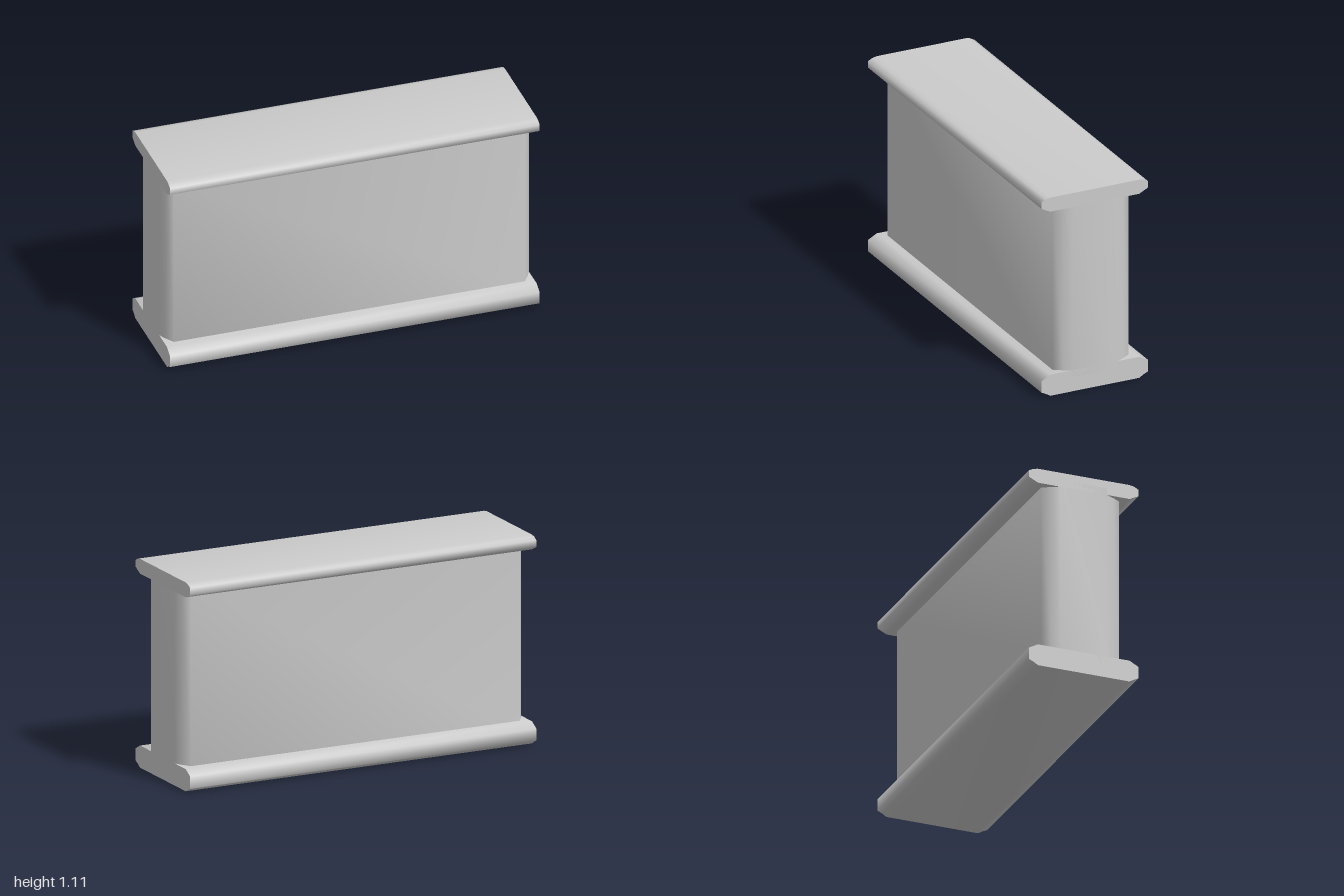
import * as THREE from 'three';
import { toCreasedNormals } from 'three/addons/utils/BufferGeometryUtils.js';

const material = new THREE.MeshStandardMaterial({ color: 0xcccccc });

// Extrudes an outline with softly shaded sides and crisp ends
function extrude(points, depth) {
  const shape = new THREE.Shape(points.map(([x, y]) => new THREE.Vector2(x, y)));
  const geometry = new THREE.ExtrudeGeometry(shape, { depth, bevelEnabled: false });
  return toCreasedNormals(geometry, 1.2);
}

// Flange running along x; half is its right-hand profile, from bottom to top
function flange(name, half) {
  const left = half.map(([z, y]) => [-z, y]).reverse();
  const geometry = extrude([...half, ...left], 2);
  geometry.translate(0, 0, -1).rotateY(Math.PI / 2);
  const mesh = new THREE.Mesh(geometry, material);
  mesh.name = name;
  return mesh;
}

export function createModel() {
  const group = new THREE.Group();
  group.name = 'beam';

  // Thicker bottom flange and thinner top flange, both with chamfered edges
  group.add(flange('bottomFlange', [
    [0.255, 0], [0.28, 0.015], [0.305, 0.027], [0.305, 0.091], [0.255, 0.118],
  ]));
  group.add(flange('topFlange', [
    [0.255, 1.033], [0.305, 1.058], [0.305, 1.094], [0.28, 1.107], [0.255, 1.112],
  ]));

  // Upright web with eased vertical corners, sunk into both flanges
  const corner = [[1, 0.13], [0.98, 0.17], [0.95, 0.217]];
  const back = [...corner, ...corner.map(([x, z]) => [-x, z]).reverse()];
  const front = back.map(([x, z]) => [x, -z]).reverse();
  const web = new THREE.Mesh(extrude([...back, ...front], 0.99), material);
  web.geometry.rotateX(-Math.PI / 2).translate(0, 0.08, 0);
  web.name = 'web';
  group.add(web);

  return group;
}
